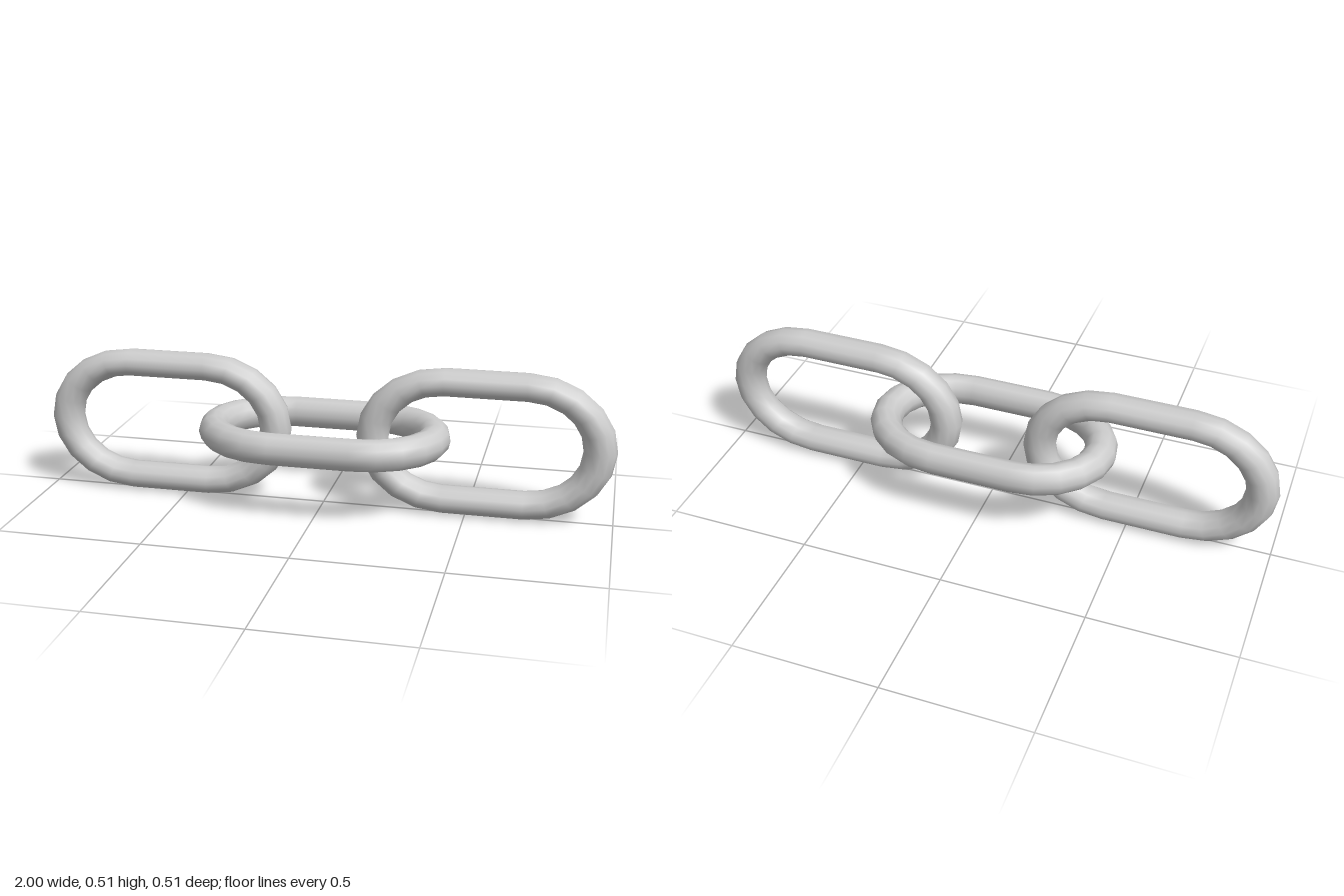
import * as THREE from 'three';
import { mergeGeometries } from 'three/addons/utils/BufferGeometryUtils.js';

const RING = 0.2095;    // centre line radius of the rounded ends
const WIRE = 0.048;     // wire radius before stretching
const HALF = 0.119;     // half length of the straight sides before stretching
const STRETCH = 1.175;  // links are stretched along their length and thickness
const SIDES = 12;

// Stadium-shaped link lying in the XY plane, long axis along X
function linkGeometry() {
  const parts = [];
  for (const s of [1, -1]) {
    // rounded end
    parts.push(new THREE.TorusGeometry(RING, WIRE, SIDES, 10, Math.PI)
      .rotateZ(-s * Math.PI / 2)
      .translate(s * HALF, 0, 0));
    // straight side
    parts.push(new THREE.CylinderGeometry(WIRE, WIRE, HALF * 2, SIDES, 1, true)
      .rotateZ(Math.PI / 2)
      .translate(0, s * RING, 0));
  }
  return mergeGeometries(parts).scale(STRETCH, 1, STRETCH);
}

export function createModel() {
  const group = new THREE.Group();
  group.name = 'chain';
  const material = new THREE.MeshStandardMaterial({ color: 0xcccccc });
  const geometry = linkGeometry();
  const spacing = 0.5575;

  // Two upright links joined by a flat one
  ['rightLink', 'middleLink', 'leftLink'].forEach((name, i) => {
    const link = new THREE.Mesh(geometry, material);
    link.name = name;
    link.position.set((i - 1) * spacing, RING + WIRE, 0);
    if (i === 1) link.rotation.x = Math.PI / 2;
    group.add(link);
  });
  return group;
}
